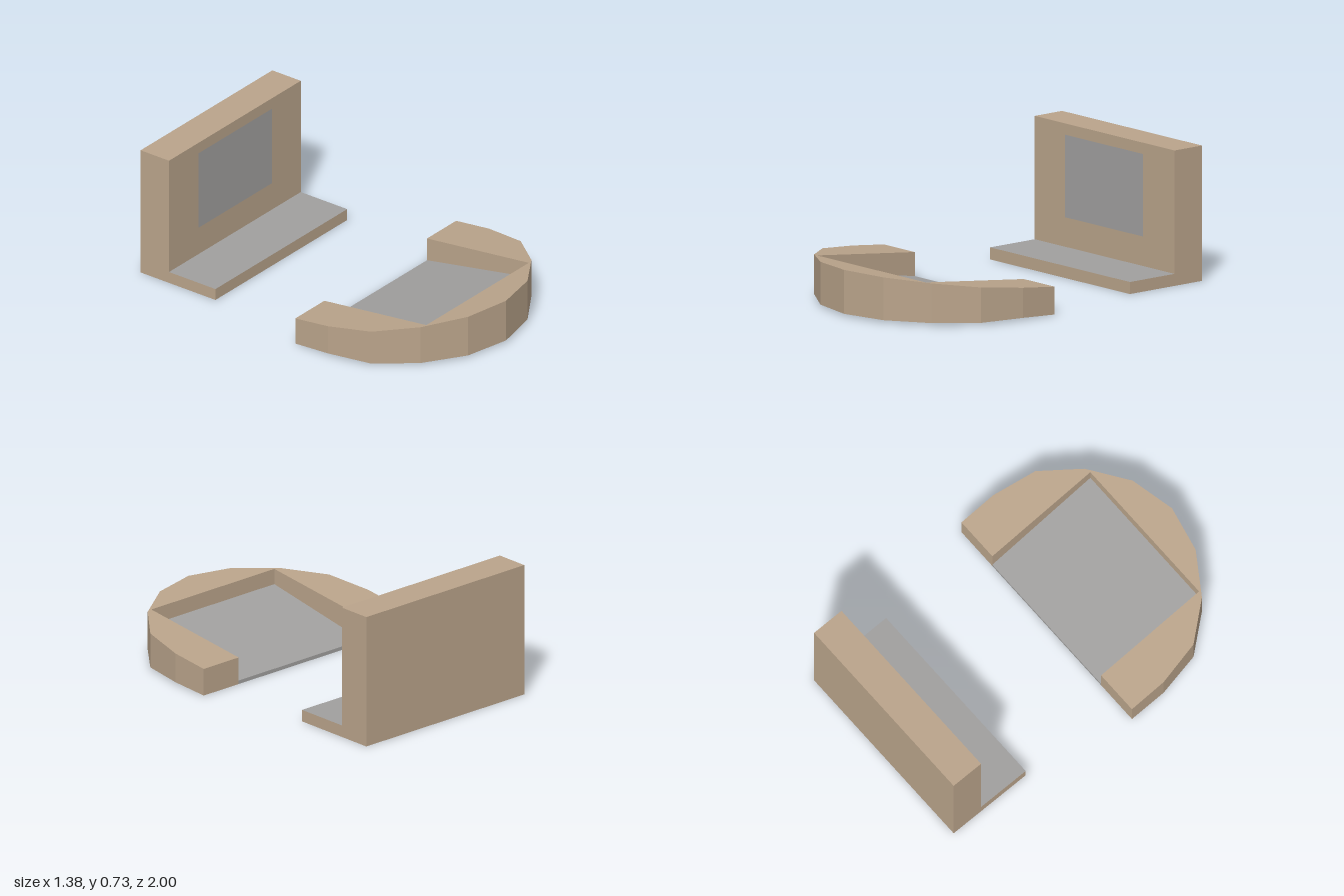
import * as THREE from 'three';

const tan = new THREE.MeshStandardMaterial({ color: 0xbaa48b, side: THREE.DoubleSide });
tan.name = 'tan';
const grey = new THREE.MeshStandardMaterial({ color: 0xa1a09f, side: THREE.DoubleSide });
grey.name = 'grey';

// Flat-shaded vertical wall strip along a plan path of [x, z] points
function wall(name, path, bottom, top, material) {
  const v = [];
  for (let i = 0; i < path.length - 1; i++) {
    const [a, b] = [path[i], path[i + 1]];
    const p = (q, f) => [q[0], f(q[1]), q[1]];
    v.push(...p(a, bottom), ...p(b, bottom), ...p(b, top));
    v.push(...p(a, bottom), ...p(b, top), ...p(a, top));
  }
  const g = new THREE.BufferGeometry();
  g.setAttribute('position', new THREE.Float32BufferAttribute(v, 3));
  g.computeVertexNormals();
  return named(name, g, material);
}

// Upward-facing sheet with a plan outline of [x, z] points; height follows z
function sheet(name, outline, height, material) {
  const shape = new THREE.Shape(outline.map(([x, z]) => new THREE.Vector2(x, -z)));
  const g = new THREE.ShapeGeometry(shape).rotateX(-Math.PI / 2);
  const pos = g.attributes.position;
  for (let i = 0; i < pos.count; i++) pos.setY(i, height(pos.getZ(i)));
  g.computeVertexNormals();
  return named(name, g, material);
}

function named(name, geometry, material) {
  const m = new THREE.Mesh(geometry, material);
  m.name = name;
  return m;
}

// Plan rectangle, closed, running so that its walls face outward
const rect = (w, z0, z1) => [[-w, z0], [-w, z1], [w, z1], [w, z0], [-w, z0]];
const level = (y) => () => y;

function createModel() {
  const model = new THREE.Group();
  model.name = 'model';

  // Rounded front surround: hollow shell, open underneath, top rising to the front
  const front = new THREE.Group();
  front.name = 'frontSurround';
  const back = 0.13, trayW = 0.44, trayZ = 0.81;
  const half = [[0.255, 0.945], [0.475, 0.8], [0.64, 0.6], [0.69, 0.35], [0.69, back]];
  const arc = [...half.map(([x, z]) => [-x, z]).reverse(), [0, 1], ...half];
  const tray = [[trayW, back], [trayW, trayZ], [-trayW, trayZ], [-trayW, back]];
  const rimY = (z) => 0.15 + (z - back) * 0.115;
  const baseY = (z) => (z < 0.2 ? 0 : 0.013);
  const floorY = (z) => 0.02 + (z - back) * 0.18;
  front.add(
    wall('outerWall', [[-trayW, back], ...arc, [trayW, back]], baseY, rimY, tan),
    sheet('slopedRim', [...arc, ...tray], rimY, tan),
    wall('trayWalls', tray, floorY, rimY, tan),
    sheet('trayFloor', tray, floorY, grey),
    wall('trayLip', [[trayW, back], [-trayW, back]], level(0), floorY, grey),
  );

  // Upright back slab: hollow, open underneath
  const rear = new THREE.Group();
  rear.name = 'rearStand';
  const w = 0.565, slabZ = -0.81, slabTop = 0.73;
  const slab = rect(w, -1, slabZ);
  rear.add(
    wall('slabWalls', slab, level(0), level(slabTop), tan),
    sheet('slabTop', slab.slice(0, 4), level(slabTop), tan),
  );
  const screen = named('screen', new THREE.PlaneGeometry(0.63, 0.445), grey);
  screen.position.set(0, 0.4475, slabZ + 0.003);
  rear.add(screen);

  // Low step in front of the slab
  const step = rect(w, slabZ, -0.5).slice(0, 4);
  rear.add(
    wall('stepWalls', step, level(0), level(0.065), tan),
    sheet('stepTop', step, level(0.065), grey),
  );

  model.add(front, rear);
  return model;
}

export { createModel };
